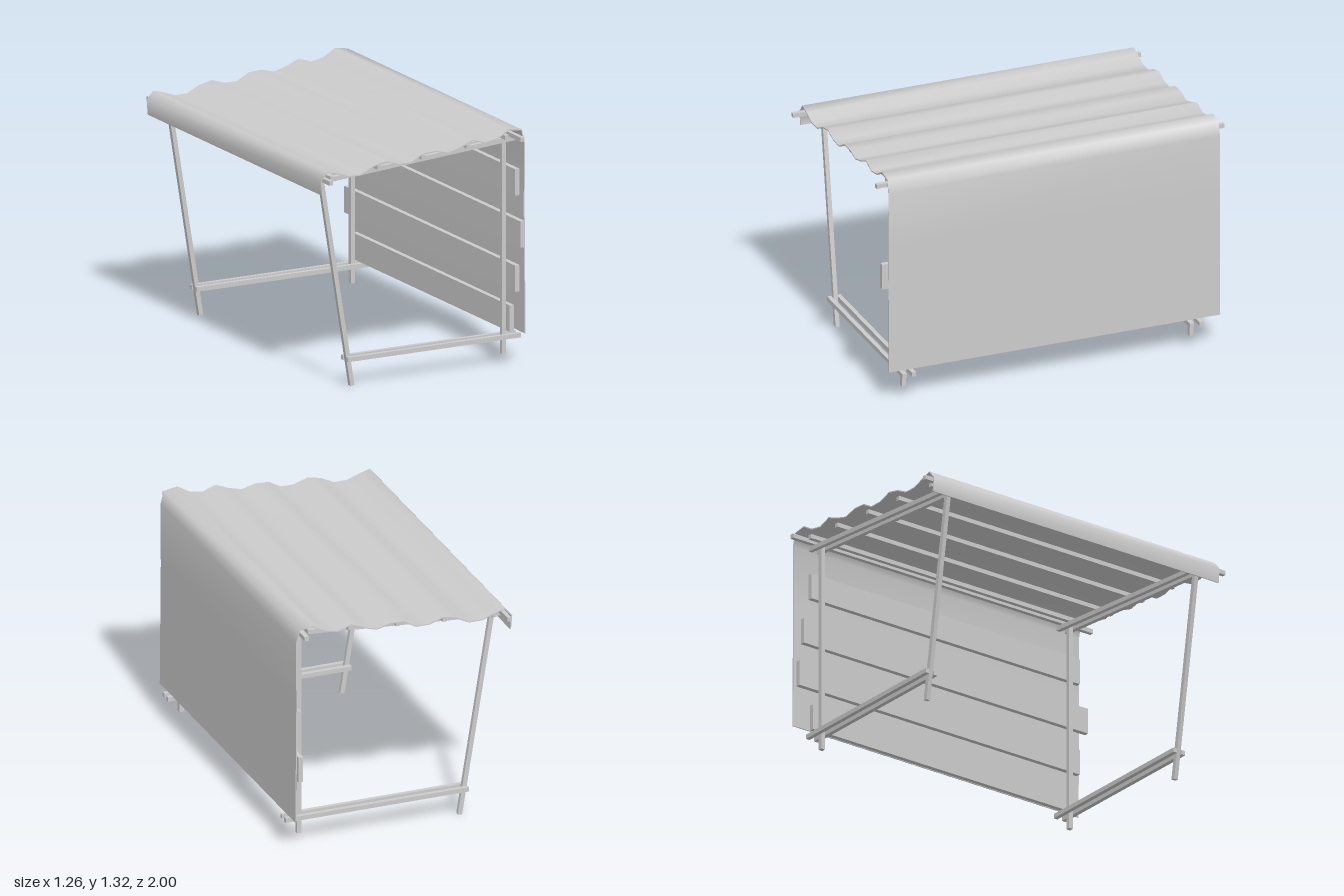
import * as THREE from 'three';
import { toCreasedNormals } from 'three/addons/utils/BufferGeometryUtils.js';

export function createModel() {
  const group = new THREE.Group();
  const material = new THREE.MeshStandardMaterial({ color: 0xcccccc });
  const sheetMaterial = new THREE.MeshStandardMaterial({ color: 0xcccccc, side: THREE.DoubleSide });

  // square timber between two points of a frame, at depth z
  function bar(name, [x0, y0], [x1, y1], z, thick = 0.025, depth = 0.024) {
    const length = Math.hypot(x1 - x0, y1 - y0);
    const mesh = new THREE.Mesh(new THREE.BoxGeometry(length, thick, depth), material);
    mesh.position.set((x0 + x1) / 2, (y0 + y1) / 2, z);
    mesh.rotation.z = Math.atan2(y1 - y0, x1 - x0);
    mesh.name = name;
    return mesh;
  }

  // timber running front to back
  function beam(name, x, y, w, h, z0, z1) {
    const mesh = new THREE.Mesh(new THREE.BoxGeometry(w, h, z1 - z0), material);
    mesh.position.set(x, y, (z0 + z1) / 2);
    mesh.name = name;
    group.add(mesh);
  }

  // two end frames: leaning leg and upright post clamped between paired rails
  for (const [name, z] of [['frontFrame', 0.833], ['backFrame', -0.82]]) {
    const frame = new THREE.Group();
    frame.name = name;
    frame.add(bar('leaningLeg', [-0.383, 0.002], [-0.58, 1.22], z));
    frame.add(bar('post', [0.54, 0.055], [0.54, 1.29], z));
    for (const s of [-1, 1]) {
      frame.add(bar('bottomRail', [-0.425, 0.153], [0.628, 0.153], z + s * 0.027));
      frame.add(bar('rafter', [-0.605, 1.153], [0.605, 1.244], z + s * 0.027));
    }
    group.add(frame);
  }

  // purlins under the roof; the two outer ones stick out at both ends
  for (const [x, y, z0, z1] of [
    [-0.598, 1.178, -1, 1], [-0.546, 1.178, -0.92, 0.92],
    [-0.26, 1.203, -0.92, 0.92], [0.008, 1.224, -0.92, 0.92], [0.282, 1.248, -0.92, 0.92],
    [0.514, 1.267, -0.92, 0.92], [0.566, 1.267, -1, 1],
  ]) beam('purlin', x, y, 0.024, 0.024, z0, z1);

  // wall boards, fixed with uneven ends
  for (const [y, z0, z1] of [
    [1.012, -0.87, 0.92], [0.738, -0.92, 0.975], [0.482, -0.95, 0.92], [0.248, -0.86, 0.86],
  ]) beam('wallBoard', 0.579, y, 0.027, 0.145, z0, z1);

  // one corrugated sheet: front lip, wavy roof and hanging wall
  const profile = [
    [-0.621, 1.1], [-0.628, 1.18], [-0.59, 1.225], [-0.53, 1.208], [-0.46, 1.183], [-0.385, 1.183],
    [-0.31, 1.22], [-0.235, 1.237], [-0.155, 1.211], [-0.08, 1.211], [-0.01, 1.25], [0.07, 1.254],
    [0.145, 1.234], [0.22, 1.255], [0.295, 1.286], [0.37, 1.26], [0.445, 1.274], [0.515, 1.315],
    [0.59, 1.304], [0.608, 1.23], [0.606, 0.88], [0.612, 0.182],
  ].map(([x, y]) => new THREE.Vector2(x, y));
  const half = 0.003;
  const offset = (sign) => profile.map((p, i) => {
    const a = profile[Math.max(i - 1, 0)], b = profile[Math.min(i + 1, profile.length - 1)];
    const t = b.clone().sub(a).normalize();
    return new THREE.Vector2(p.x - t.y * half * sign, p.y + t.x * half * sign);
  });
  const ribbon = new THREE.Shape([...offset(1), ...offset(-1).reverse()]);
  const sheetGeometry = new THREE.ExtrudeGeometry(ribbon, { depth: 1.905, bevelEnabled: false });
  const sheet = new THREE.Mesh(toCreasedNormals(sheetGeometry, 1.45), sheetMaterial);
  sheet.position.z = -0.96;
  sheet.name = 'corrugatedSheet';
  group.add(sheet);

  return group;
}
